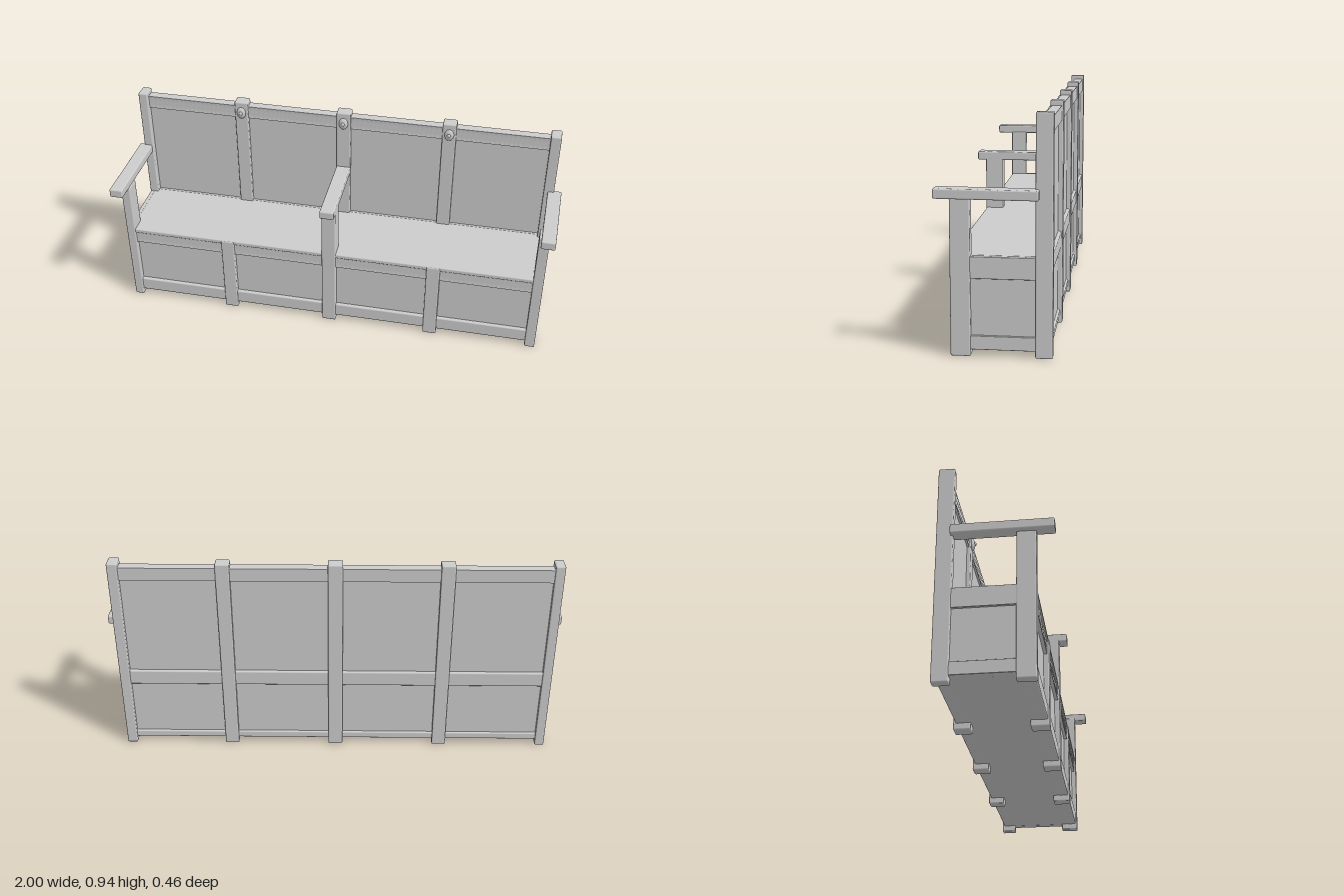
import * as THREE from 'three';
import { RoundedBoxGeometry } from 'three/addons/geometries/RoundedBoxGeometry.js';

const material = new THREE.MeshStandardMaterial({ color: 0xcccccc });

export function createModel() {
  const bench = new THREE.Group();
  bench.name = 'bench';

  const add = (name, geometry) => {
    const mesh = new THREE.Mesh(geometry, material);
    mesh.name = name;
    bench.add(mesh);
    return mesh;
  };
  // Softly bevelled timber between [min, max] on each axis
  const timber = (name, [x0, x1], [y0, y1], [z0, z1], bevel = 0.006) => {
    const w = x1 - x0, h = y1 - y0, d = z1 - z0;
    const r = Math.min(bevel, Math.min(w, h, d) * 0.4);
    const mesh = add(name, new RoundedBoxGeometry(w, h, d, 2, r));
    mesh.position.set((x0 + x1) / 2, (y0 + y1) / 2, (z0 + z1) / 2);
    return mesh;
  };
  // Plain panel or board
  const board = (name, [x0, x1], [y0, y1], [z0, z1]) => {
    const mesh = add(name, new THREE.BoxGeometry(x1 - x0, y1 - y0, z1 - z0));
    mesh.position.set((x0 + x1) / 2, (y0 + y1) / 2, (z0 + z1) / 2);
    return mesh;
  };
  // Rail whose front face is gouged with slanted grooves
  const carvedRail = (name, [x0, x1], [y0, y1], [z0, z1]) => {
    const w = x1 - x0, h = y1 - y0, d = z1 - z0;
    const geometry = new THREE.BoxGeometry(w, h, d, 110, 6, 1);
    const p = geometry.attributes.position;
    for (let i = 0; i < p.count; i++) {
      const x = p.getX(i), y = p.getY(i);
      const inside = Math.abs(y) < h * 0.4 && Math.abs(x) < w * 0.49;
      if (p.getZ(i) > 0 && inside) p.setZ(i, d / 2 - 0.0015 + 0.0015 * Math.sin((x - y * 0.7) * 300));
    }
    geometry.computeVertexNormals();
    add(name, geometry).position.set((x0 + x1) / 2, (y0 + y1) / 2, (z0 + z1) / 2);
  };

  // Posts: the two ends, the tall centre and two short intermediates
  const posts = [
    { x: [-0.975, -0.933], arm: true, end: true },
    { x: [-0.515, -0.453] },
    { x: [-0.037, 0.028], arm: true },
    { x: [0.445, 0.507] },
    { x: [0.92, 0.966], arm: true, end: true },
  ];
  for (const { x, arm, end } of posts) {
    timber('backPost', x, [0, 0.938], [-0.232, end ? -0.165 : -0.178]);
    timber('frontPost', x, [0, arm ? 0.625 : 0.39], [0.082, 0.16]);
    // Feet of the inner back posts reach a little under the base
    if (!end) timber('backFoot', x, [0, 0.05], [-0.23, -0.16]);
  }

  // Carved bosses on the top rail
  for (const x of [-0.484, -0.005, 0.476]) {
    const boss = add('boss', new THREE.SphereGeometry(1, 20, 12));
    boss.scale.set(0.021, 0.028, 0.014);
    boss.position.set(x, 0.885, -0.178);
    const button = add('bossButton', new THREE.SphereGeometry(0.009, 12, 8));
    button.position.set(x, 0.888, -0.167);
  }

  // Bays between neighbouring posts
  for (let i = 0; i < 4; i++) {
    const x = [posts[i].x[1] - 0.006, posts[i + 1].x[0] + 0.006];
    carvedRail('topRail', x, [0.857, 0.917], [-0.226, -0.185]);
    board('backPanel', x, [0.37, 0.87], [-0.212, -0.195]);
    timber('backSeatRail', x, [0.325, 0.395], [-0.226, -0.185]);
    board('lowerBackPanel', x, [0.04, 0.34], [-0.212, -0.195]);
    timber('backBottomRail', x, [0.027, 0.06], [-0.222, -0.185]);
    carvedRail('frontSeatRail', x, [0.317, 0.383], [0.11, 0.152]);
    board('frontPanel', x, [0.08, 0.33], [0.12, 0.137]);
    timber('frontBottomRail', x, [0.027, 0.092], [0.11, 0.153]);
  }

  // Seat and floor
  timber('seat', [-0.955, 0.943], [0.372, 0.393], [-0.2, 0.157], 0.005);
  board('floor', [-0.96, 0.95], [0.028, 0.045], [-0.215, 0.14]);

  // Framed ends, mirrored to either side
  for (const side of [-1, 1]) {
    const outer = side < 0 ? -0.972 : 0.963;
    const span = (inset, depth) => [outer - side * inset, outer - side * (inset + depth)].sort((a, b) => a - b);
    timber('endTopRail', span(0, 0.036), [0.305, 0.391], [-0.18, 0.1], 0.003);
    timber('endBottomRail', span(0, 0.036), [0.027, 0.082], [-0.18, 0.1], 0.003);
    board('endPanel', span(0.01, 0.016), [0.07, 0.32], [-0.18, 0.1]);
  }

  // Armrests, the outer pair overhanging the ends
  timber('leftArm', [0.933, 0.995], [0.613, 0.652], [-0.18, 0.218]).rotation.y = -0.025;
  timber('rightArm', [-0.998, -0.938], [0.62, 0.66], [-0.175, 0.232]);
  timber('middleArm', [-0.037, 0.028], [0.615, 0.653], [-0.19, 0.197]);

  return bench;
}
